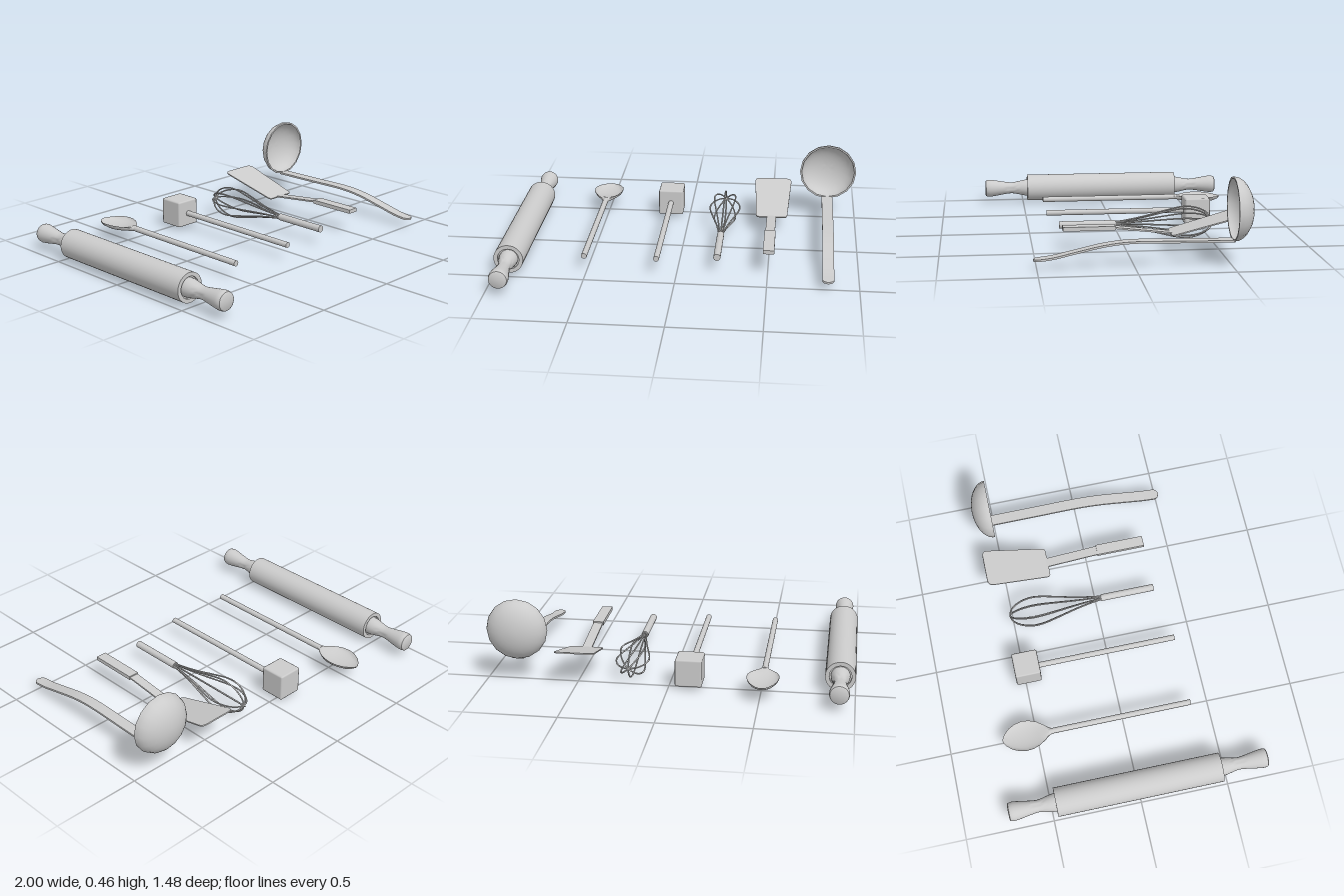
import * as THREE from 'three';
import { toCreasedNormals } from 'three/addons/utils/BufferGeometryUtils.js';
import { RoundedBoxGeometry } from 'three/addons/geometries/RoundedBoxGeometry.js';

const AXIS = 0.095; // height of the centre line shared by the tools
const material = new THREE.MeshStandardMaterial({ color: 0xcccccc, side: THREE.DoubleSide });

function add(parent, name, geometry, x = 0, y = 0, z = 0) {
  const mesh = new THREE.Mesh(geometry, material);
  mesh.name = name;
  mesh.position.set(x, y, z);
  parent.add(mesh);
  return mesh;
}

function tool(root, name, x, y = 0) {
  const group = new THREE.Group();
  group.name = name;
  group.position.set(x, y, 0);
  root.add(group);
  return group;
}

// Turned part whose axis runs along z; points are [radius, z]
function turned(points, sides, crease = 0.7) {
  const profile = points.map(([r, z]) => new THREE.Vector2(r, z));
  return toCreasedNormals(new THREE.LatheGeometry(profile, sides).rotateX(Math.PI / 2), crease);
}

function rod(radius, z0, z1, sides = 16) {
  return new THREE.CylinderGeometry(radius, radius, z1 - z0, sides)
    .rotateX(Math.PI / 2).translate(0, 0, (z0 + z1) / 2);
}

// Flat strip along z, with height and half width given as functions of z
function strip(z0, z1, thickness, segments, height, halfWidth) {
  const g = new THREE.BoxGeometry(2, thickness, z1 - z0, 1, 1, segments);
  g.translate(0, 0, (z0 + z1) / 2);
  const p = g.attributes.position;
  for (let i = 0; i < p.count; i++) {
    const z = p.getZ(i);
    p.setXY(i, p.getX(i) * halfWidth(z), p.getY(i) + height(z));
  }
  return toCreasedNormals(g, 0.6);
}

// Smooth function through a few [z, value] points
function curveFunction(points) {
  const curve = new THREE.SplineCurve(points.map(([z, v]) => new THREE.Vector2(z, v)));
  const samples = curve.getPoints(120);
  return (z) => {
    let i = 1;
    while (i < samples.length - 1 && samples[i].x < z) i++;
    const a = samples[i - 1], b = samples[i];
    return THREE.MathUtils.lerp(a.y, b.y, THREE.MathUtils.clamp((z - a.x) / (b.x - a.x), 0, 1));
  };
}

// Skin over closed rings that follow each other towards -z
function loft(rings) {
  const n = rings[0].length, index = [];
  for (let i = 0; i < rings.length - 1; i++) {
    for (let j = 0; j < n; j++) {
      const a = i * n + j, b = i * n + (j + 1) % n;
      index.push(a, a + n, b, b, a + n, b + n);
    }
  }
  const g = new THREE.BufferGeometry();
  g.setAttribute('position', new THREE.Float32BufferAttribute(rings.flat(2), 3));
  g.setIndex(index);
  return toCreasedNormals(g, 0.8);
}

function buildRollingPin(root) {
  const pin = tool(root, 'rollingPin', -0.918, AXIS);
  // Barrel with recessed ends around the handles
  add(pin, 'barrel', turned([[0, -0.46], [0.06, -0.46], [0.06, -0.473], [0.082, -0.473],
    [0.082, 0.473], [0.06, 0.473], [0.06, 0.46], [0, 0.46]], 32));
  const profile = new THREE.SplineCurve([[0.052, 0.455], [0.05, 0.49], [0.036, 0.56], [0.037, 0.6],
    [0.05, 0.68], [0.054, 0.715], [0.05, 0.735]].map(([r, z]) => new THREE.Vector2(r, z)));
  const points = [...profile.getPoints(18).map((v) => [v.x, v.y]), [0.042, 0.74], [0, 0.74]];
  for (const end of ['front', 'back']) {
    const handle = add(pin, end + 'Handle', turned(points, 24));
    if (end === 'back') handle.rotation.y = Math.PI;
  }
}

function buildSpoon(root) {
  const spoon = tool(root, 'spoon', -0.512, AXIS);
  add(spoon, 'handle', rod(0.016, -0.43, 0.395));
  // Bowl sections: [z, half width, rim height, outer depth, hollow depth]
  const sections = [[-0.4, 0.012, 0, 0.012, -0.012], [-0.425, 0.022, 0.003, 0.018, -0.01],
    [-0.455, 0.045, 0.008, 0.029, 0.002], [-0.49, 0.069, 0.011, 0.037, 0.016],
    [-0.53, 0.084, 0.012, 0.042, 0.026], [-0.57, 0.088, 0.012, 0.042, 0.029],
    [-0.61, 0.081, 0.01, 0.039, 0.027], [-0.65, 0.062, 0.006, 0.032, 0.02],
    [-0.68, 0.034, 0.002, 0.018, 0.009], [-0.692, 0.015, 0, 0.008, 0.002], [-0.697, 0, 0, 0, 0]];
  add(spoon, 'bowl', loft(sections.map(([z, w, rim, outer, hollow]) =>
    Array.from({ length: 24 }, (_, j) => {
      const a = (j / 24) * Math.PI * 2, s = Math.sin(a);
      return [w * Math.cos(a), rim + (s > 0 ? -hollow : outer) * s, z];
    }))));
}

function buildMallet(root) {
  const mallet = tool(root, 'mallet', -0.111, AXIS);
  add(mallet, 'handle', rod(0.016, -0.42, 0.395));
  add(mallet, 'head', new RoundedBoxGeometry(0.146, 0.154, 0.147, 1, 0.01), 0, 0.002, -0.48);
}

function buildWhisk(root) {
  const whisk = tool(root, 'whisk', 0.22, AXIS);
  add(whisk, 'handle', rod(0.02, 0.03, 0.345));
  // One looped wire, repeated round the axis
  const half = [[0.01, 0.05], [0.014, 0], [0.036, -0.12], [0.066, -0.24], [0.086, -0.33],
    [0.088, -0.39], [0.068, -0.46], [0.035, -0.502]];
  const path = [...half, [0, -0.514], ...half.map(([r, z]) => [-r, z]).reverse()]
    .map(([r, z]) => new THREE.Vector3(r, 0, z));
  const wire = new THREE.TubeGeometry(new THREE.CatmullRomCurve3(path), 56, 0.0045, 6);
  for (let i = 0; i < 4; i++) add(whisk, 'wireLoop', wire).rotation.z = (i * Math.PI) / 4;
}

// Flat outline with rounded corners; corners are [x, y, radius]
function roundedOutline(corners) {
  const shape = new THREE.Shape();
  const n = corners.length;
  const at = (i) => new THREE.Vector2(corners[(i + n) % n][0], corners[(i + n) % n][1]);
  corners.forEach(([x, y, r], i) => {
    const c = at(i);
    const a = at(i - 1).sub(c).setLength(r).add(c);
    const b = at(i + 1).sub(c).setLength(r).add(c);
    if (i === 0) shape.moveTo(a.x, a.y); else shape.lineTo(a.x, a.y);
    shape.quadraticCurveTo(x, y, b.x, b.y);
  });
  shape.closePath();
  return shape;
}

function buildSpatula(root) {
  const spatula = tool(root, 'spatula', 0.503);
  add(spatula, 'grip', new THREE.BoxGeometry(0.062, 0.022, 0.28), 0, 0.138, 0.205);
  const slope = (z) => 0.138 + (z - 0.07) * 0.115;
  add(spatula, 'shaft', strip(-0.245, 0.08, 0.009, 1, slope, () => 0.027));
  // Blade rising towards its back edge
  const outline = roundedOutline([[-0.091, 0, 0.02], [0.091, 0, 0.02],
    [0.111, 0.383, 0.035], [-0.111, 0.383, 0.035]]);
  const blade = new THREE.ExtrudeGeometry(outline, { depth: 0.007, bevelEnabled: false, curveSegments: 6 });
  add(spatula, 'blade', blade.rotateX(-Math.PI / 2 + 0.264), 0, 0.097, -0.234);
}

function buildLadle(root) {
  const ladle = tool(root, 'ladle', 0.83);
  const bowl = [];
  const steps = 10;
  for (let i = 0; i <= steps; i++) {
    const a = (i / steps) * Math.PI / 2;
    bowl.push([0.168 * Math.sin(a), -0.105 * Math.cos(a)]);
  }
  for (let i = steps; i >= 0; i--) {
    const a = (i / steps) * Math.PI / 2;
    bowl.push([0.158 * Math.sin(a), -0.096 * Math.cos(a)]);
  }
  add(ladle, 'bowl', turned(bowl, 16, 0.8), 0, 0.291, -0.508);
  // Curved strip handle with a rounded tip
  const height = curveFunction([[-0.52, 0.128], [-0.25, 0.131], [0, 0.134], [0.15, 0.12],
    [0.3, 0.088], [0.42, 0.061], [0.517, 0.05]]);
  const width = (z) => 0.032 * Math.sqrt(Math.max(0.02, 1 - Math.max(0, (z - 0.485) / 0.032) ** 2));
  add(ladle, 'handle', strip(-0.515, 0.517, 0.011, 120, height, width));
}

export function createModel() {
  const root = new THREE.Group();
  root.name = 'kitchenTools';
  [buildRollingPin, buildSpoon, buildMallet, buildWhisk, buildSpatula, buildLadle]
    .forEach((build) => build(root));
  return root;
}
